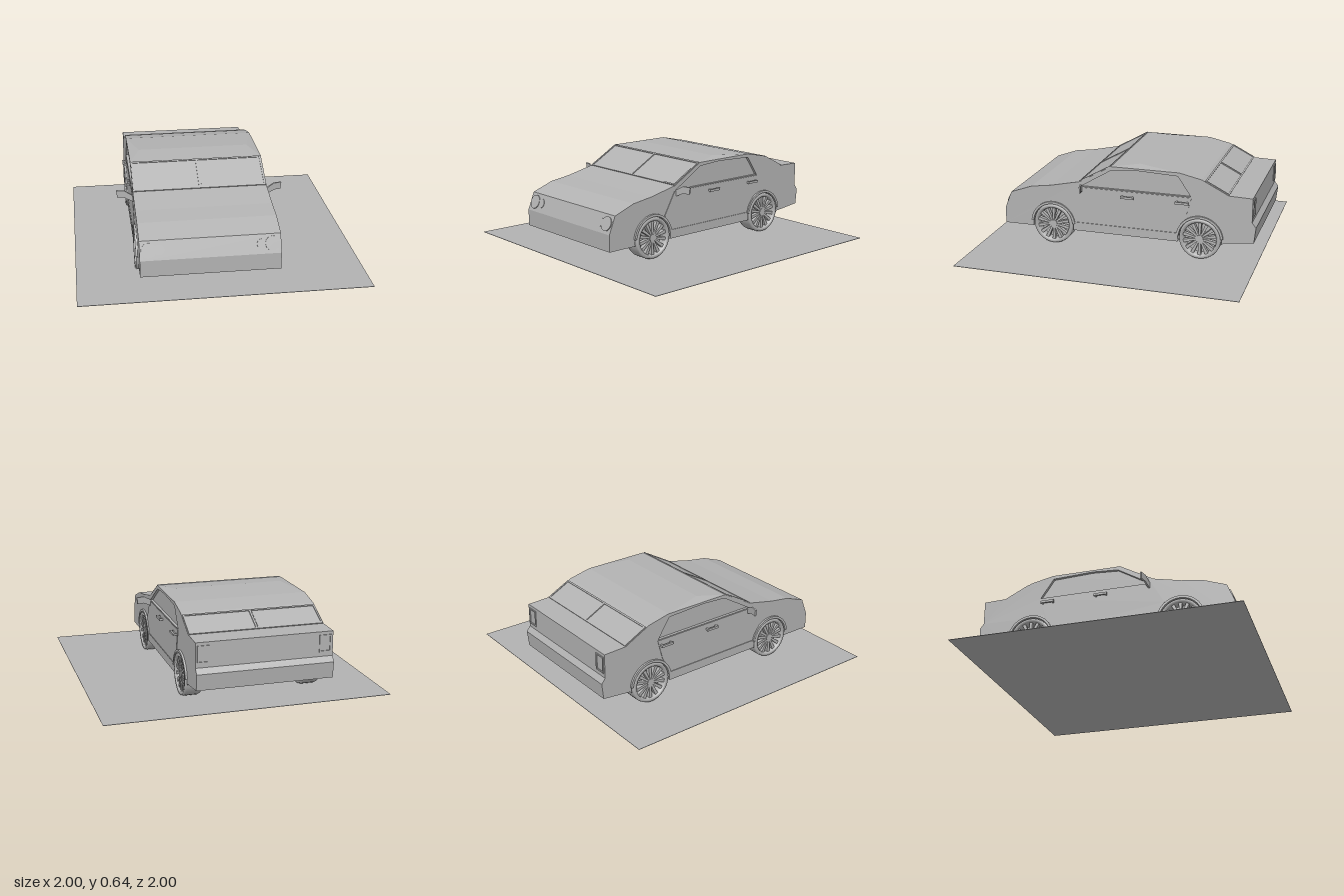
import * as THREE from 'three';

const CX = -0.097, HW = 0.4775; // car centre line and half width
const grey = new THREE.MeshStandardMaterial({ color: 0xb2b2b2 });
grey.name = 'plain grey';

function add(parent, name, geometry, x = 0, y = 0, z = 0) {
  const mesh = new THREE.Mesh(geometry, grey);
  mesh.name = name;
  mesh.position.set(x, y, z);
  parent.add(mesh);
  return mesh;
}

const toShape = pts => new THREE.Shape(pts.map(p => new THREE.Vector2(p[0], p[1])));

// Extrude a (z, y) outline sideways from x0 to x1
function slab(shape, x0, x1) {
  const g = new THREE.ExtrudeGeometry(shape, { depth: x1 - x0, bevelEnabled: false, curveSegments: 16 });
  g.rotateY(-Math.PI / 2);
  g.translate(x1, 0, 0);
  return g;
}

const FRONT = [0.495, 0.15], REAR = [-0.592, 0.152];

// Side outline with both wheel arches cut out
function bodyShape() {
  const s = toShape([
    [0.87, 0.118], [0.87, 0.236], [0.82, 0.36], [0.66, 0.418], [0.506, 0.44], [0.29, 0.487],
    [0.055, 0.62], [-0.437, 0.62], [-0.6, 0.584], [-0.79, 0.487], [-0.957, 0.482],
    [-0.957, 0.31], [-0.985, 0.273], [-0.973, 0.16], [-0.76, 0.136],
  ]);
  for (const [z, y] of [REAR, FRONT]) s.absarc(z, y, 0.157, Math.PI + 0.2, -0.2, true);
  return s;
}

// Rectangular frame in its own xy plane
function frame(parent, name, w, h, t, depth) {
  const g = new THREE.Group();
  g.name = name;
  for (const s of [-1, 1]) {
    add(g, name + 'Upright', new THREE.BoxGeometry(t, h, depth), s * (w - t) / 2);
    add(g, name + 'Rail', new THREE.BoxGeometry(w, t, depth), 0, s * (h - t) / 2);
  }
  parent.add(g);
  return g;
}

// Two-pane window lying on the slope from a low to a high (z, y) point
function screen(parent, name, low, high) {
  const dz = high[0] - low[0], dy = high[1] - low[1], h = Math.hypot(dz, dy);
  const g = frame(parent, name, 2 * HW - 0.01, h, 0.012, 0.014);
  add(g, name + 'Divider', new THREE.BoxGeometry(0.014, h, 0.014));
  for (const s of [-1, 1]) add(g, name + 'Pane', new THREE.BoxGeometry(HW - 0.024, h - 0.024, 0.004), s * HW / 2);
  g.position.set(CX, (low[1] + high[1]) / 2, (low[0] + high[0]) / 2);
  g.rotation.x = Math.atan2(dz, dy);
}

// Wheel with its outer face towards +x
function wheel() {
  const g = new THREE.Group();
  g.name = 'wheel';
  const profile = [[0.122, -0.06], [0.143, -0.062], [0.149, -0.045], [0.149, 0.045], [0.143, 0.062], [0.122, 0.06], [0.116, 0.03], [0.116, -0.06], [0.122, -0.06]]
    .map(p => new THREE.Vector2(...p));
  const parts = [
    add(g, 'tyre', new THREE.LatheGeometry(profile, 32)),
    add(g, 'wheelBack', new THREE.CylinderGeometry(0.118, 0.118, 0.04, 32), -0.02),
    add(g, 'hub', new THREE.CylinderGeometry(0.028, 0.032, 0.05, 10), 0.03),
  ];
  for (const p of parts) p.rotation.z = -Math.PI / 2;
  const spoke = toShape([[-0.006, 0.02], [0.006, 0.02], [0.012, 0.12], [-0.012, 0.12]]);
  for (let i = 0; i < 14; i++) {
    const s = add(g, 'spoke', slab(spoke, 0.02, 0.05));
    s.rotation.x = i * Math.PI / 7;
  }
  return g;
}

// Parts of one side, built for +x
function side() {
  const g = new THREE.Group();
  g.name = 'carSide';

  // Outer skin with the recessed side window
  const skin = bodyShape();
  skin.holes.push(new THREE.Path([[0.285, 0.452], [0.05, 0.594], [-0.137, 0.606], [-0.43, 0.594], [-0.525, 0.452]]
    .map(p => new THREE.Vector2(...p))));
  add(g, 'sideSkin', slab(skin, HW - 0.02, HW));

  // Doors, sill and handles
  add(g, 'doorPanel', slab(toShape([[0.295, 0.447], [0.385, 0.29], [0.345, 0.18], [-0.435, 0.18], [-0.49, 0.3], [-0.53, 0.447]]), HW - 0.005, HW + 0.004));
  add(g, 'sill', slab(toShape([[0.34, 0.118], [0.34, 0.18], [-0.435, 0.18], [-0.435, 0.118]]), HW - 0.01, HW + 0.009));
  for (const z of [-0.07, -0.465]) {
    add(g, 'doorHandle', new THREE.BoxGeometry(0.012, 0.016, 0.096), HW + 0.025, 0.408, z);
    for (const s of [-1, 1]) add(g, 'handleMount', new THREE.BoxGeometry(0.03, 0.014, 0.012), HW + 0.01, 0.408, z + s * 0.038);
  }

  // Wheels and arch trims
  for (const [z, y] of [FRONT, REAR]) {
    const w = wheel();
    w.position.set(HW - 0.05, y, z);
    g.add(w);
    const arch = new THREE.Shape();
    arch.absarc(z, y, 0.168, Math.PI - 0.1, 0.1, true);
    arch.absarc(z, y, 0.151, 0.1, Math.PI - 0.1, false);
    add(g, 'wheelArch', slab(arch, HW - 0.02, HW + 0.014));
  }

  // Door mirror, swept slightly forward to its root
  const mirror = new THREE.ExtrudeGeometry(
    toShape([[0, 0.41], [0.062, 0.437], [0.112, 0.437], [0.118, 0.487], [0.058, 0.487], [0, 0.455]]),
    { depth: 0.012, bevelEnabled: false });
  add(g, 'doorMirror', mirror, HW - 0.002, 0, 0.272).rotation.y = 0.25;

  // Round lamps on the sloping nose
  for (const [x, r, t] of [[0.418, 0.05, 0.012], [0.345, 0.034, 0.006]]) {
    const lamp = add(g, 'headlight', new THREE.CylinderGeometry(r, r, t, 24), x, 0.3, 0.845);
    lamp.rotation.x = Math.PI / 2 - 0.383;
  }

  // Tail lamps
  const tail = frame(g, 'tailLight', 0.085, 0.12, 0.01, 0.012);
  tail.position.set(HW - 0.055, 0.4, -0.957);
  return g;
}

export function createModel() {
  const model = new THREE.Group();
  model.name = 'carOnGround';

  // Thin ground sheet
  add(model, 'groundSheet', new THREE.BoxGeometry(2, 0.003, 2), 0, 0.0015, 0);

  // Body core between the side skins
  add(model, 'bodyCore', slab(bodyShape(), -HW + 0.02, HW - 0.02), CX);

  // Shallow roof crown, narrower along its ridge
  const crown = slab(toShape([[0.055, 0.62], [-0.137, 0.637], [-0.437, 0.62]]), -HW, HW);
  const p = crown.attributes.position;
  for (let i = 0; i < p.count; i++) if (p.getY(i) > 0.63) p.setX(i, p.getX(i) * 0.84);
  crown.computeVertexNormals();
  add(model, 'roofCrown', crown, CX);

  // Framed front and rear windows
  screen(model, 'windscreen', [0.29, 0.487], [0.058, 0.618]);
  screen(model, 'rearWindow', [-0.79, 0.487], [-0.62, 0.574]);

  // Mirrored sides
  for (const s of [-1, 1]) {
    const g = side();
    g.scale.x = s;
    g.position.x = CX;
    model.add(g);
  }
  return model;
}
